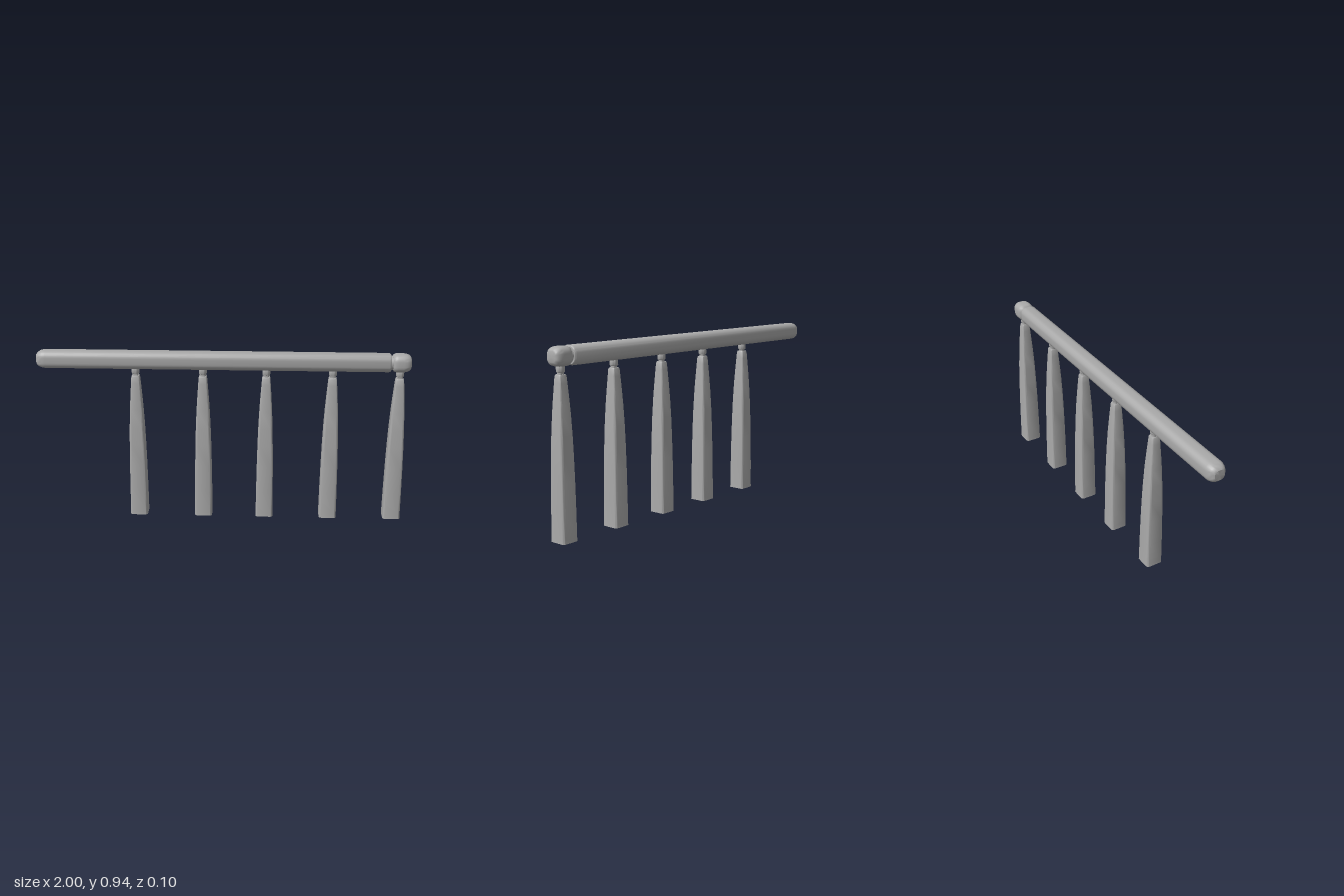
import * as THREE from 'three';
import { toCreasedNormals } from 'three/addons/utils/BufferGeometryUtils.js';

// Outline of a rounded square; round = corner radius as a share of the half width
function ring(half, round, y, steps = 6) {
  const pts = [];
  for (let corner = 0; corner < 4; corner++) {
    const mid = (corner + 0.5) * Math.PI / 2;
    const cx = Math.sign(Math.cos(mid)) * half * (1 - round);
    const cz = Math.sign(Math.sin(mid)) * half * (1 - round);
    for (let i = 0; i <= steps; i++) {
      const t = (corner + i / steps) * Math.PI / 2;
      pts.push([cx + Math.cos(t) * half * round, y, cz + Math.sin(t) * half * round]);
    }
  }
  return pts;
}

// Skin rounded-square sections [y, half width] stacked along y; zero width closes an end
function loft(sections, round, crease = 0.6) {
  const rings = sections.map(([y, half]) => ring(half, round, y));
  const pos = [];
  for (let i = 0; i < rings.length - 1; i++) {
    const n = rings[i].length;
    for (let j = 0; j < n; j++) {
      const k = (j + 1) % n;
      const a = rings[i][j], b = rings[i][k], c = rings[i + 1][j], d = rings[i + 1][k];
      if (sections[i + 1][1] > 0) pos.push(...a, ...c, ...d);
      if (sections[i][1] > 0) pos.push(...a, ...d, ...b);
    }
  }
  const geo = new THREE.BufferGeometry();
  geo.setAttribute('position', new THREE.Float32BufferAttribute(pos, 3));
  return toCreasedNormals(geo, crease);
}

export function createModel() {
  const model = new THREE.Group();
  model.name = 'railing';
  const grey = new THREE.MeshStandardMaterial({ color: 0xaaaaaa });
  grey.name = 'grey';

  const railY = 0.897;
  const add = (parent, name, geo, x = 0, y = 0) => {
    const mesh = new THREE.Mesh(geo, grey);
    mesh.name = name;
    mesh.position.set(x, y, 0);
    parent.add(mesh);
  };

  // Handrail with a softened left end and a narrow joint before the end knob
  const railGeo = loft([
    [-1, 0], [-1, 0.027], [-0.994, 0.035], [-0.982, 0.042], [-0.965, 0.047], [-0.95, 0.048],
    [0.883, 0.048], [0.889, 0.046], [0.893, 0.042], [0.893, 0],
  ], 0.72).rotateZ(-Math.PI / 2);
  add(model, 'handrail', railGeo, 0, railY);

  const jointGeo = new THREE.CylinderGeometry(0.038, 0.038, 0.03, 32).rotateZ(Math.PI / 2);
  add(model, 'railJoint', jointGeo, 0.9, railY);

  // Rounded knob above the last post
  const knobGeo = loft([
    [0.903, 0], [0.903, 0.037], [0.908, 0.043], [0.917, 0.047], [0.928, 0.048],
    [0.958, 0.048], [0.974, 0.046], [0.988, 0.041], [0.997, 0.033], [1, 0.025], [1, 0],
  ], 0.72).rotateZ(-Math.PI / 2);
  add(model, 'endKnob', knobGeo, 0, railY);

  // Tapering square posts with softened edges
  const postGeo = loft([
    [0, 0], [0, 0.048], [0.02, 0.0475], [0.15, 0.0465], [0.3, 0.0445], [0.42, 0.042],
    [0.52, 0.039], [0.62, 0.0345], [0.7, 0.0295], [0.77, 0.0245], [0.803, 0.022],
    [0.811, 0.019], [0.811, 0],
  ], 0.3);

  // Turned neck and collar under the rail
  const neckProfile = [
    [0.016, 0.805], [0.016, 0.82], [0.02, 0.822], [0.0215, 0.826],
    [0.0215, 0.846], [0.02, 0.852], [0.02, 0.87],
  ].map(([r, y]) => new THREE.Vector2(r, y));
  const neckGeo = toCreasedNormals(new THREE.LatheGeometry(neckProfile, 32), 0.6);

  [-0.47, -0.107, 0.234, 0.589, 0.945].forEach((x) => {
    const baluster = new THREE.Group();
    baluster.name = 'baluster';
    baluster.position.x = x;
    add(baluster, 'post', postGeo);
    add(baluster, 'neck', neckGeo);
    model.add(baluster);
  });

  return model;
}
